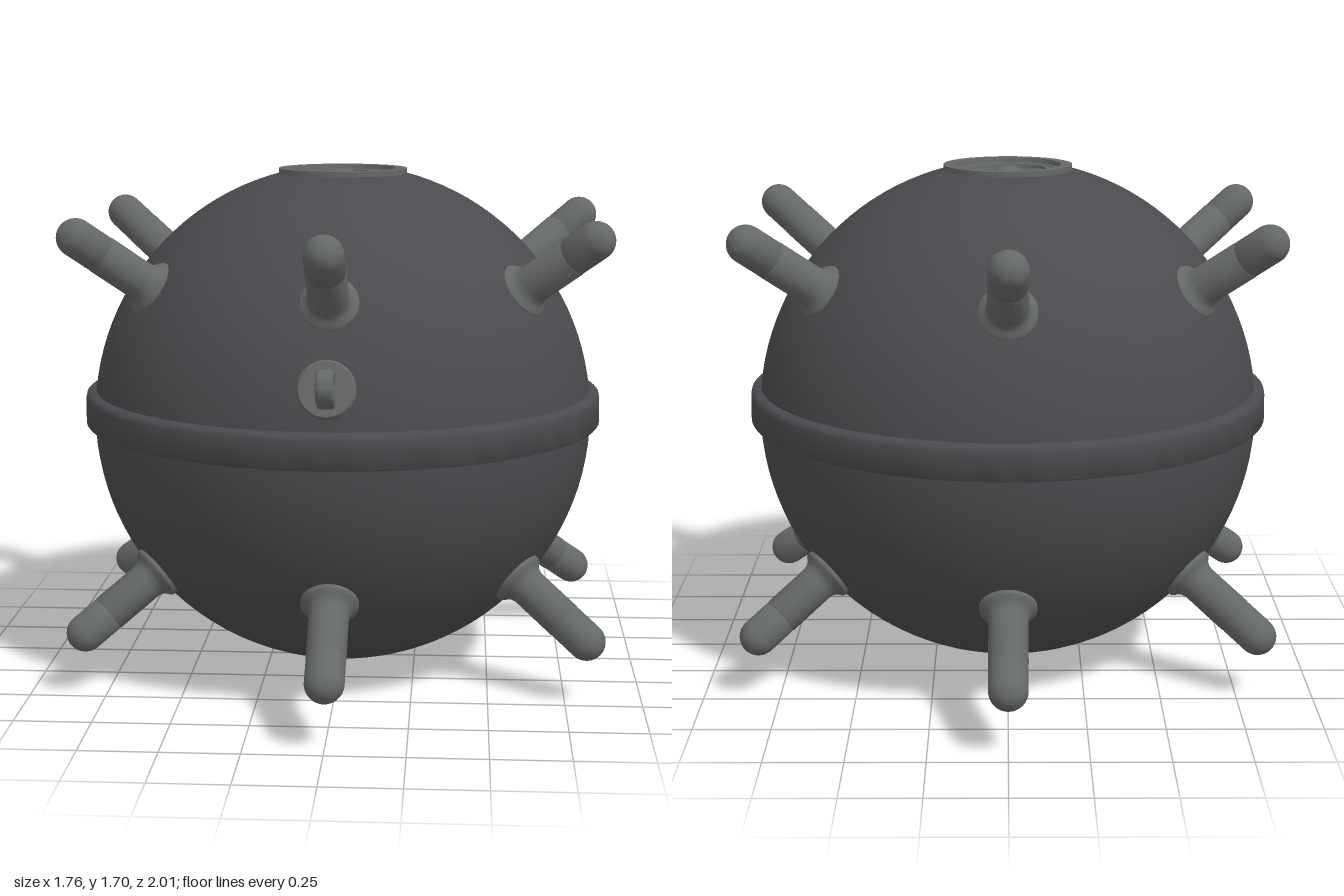
import * as THREE from 'three';
import { toCreasedNormals } from 'three/addons/utils/BufferGeometryUtils.js';

const R = 0.84, CY = 0.87;
const hullMat = new THREE.MeshStandardMaterial({ color: 0x4c4a4e });
const fittingMat = new THREE.MeshStandardMaterial({ color: 0x656966 });

// Revolved part; profile runs up the outside as [radius, height] pairs
function lathe(name, profile, material, segments = 48, crease = 0.6) {
  const points = profile.map(([r, y]) => new THREE.Vector2(r, y));
  const geometry = toCreasedNormals(new THREE.LatheGeometry(points, segments), crease);
  const mesh = new THREE.Mesh(geometry, material);
  mesh.name = name;
  return mesh;
}

// Group whose local +y points outward from the hull centre
function outward(name, elevation, azimuth) {
  const group = new THREE.Group();
  group.name = name;
  const c = Math.cos(elevation);
  const dir = new THREE.Vector3(c * Math.sin(azimuth), Math.sin(elevation), c * Math.cos(azimuth));
  group.quaternion.setFromUnitVectors(new THREE.Vector3(0, 1, 0), dir);
  group.position.y = 0.86;
  return group;
}

function hull() {
  // Spherical shell with a slightly pointed bottom and an open top
  const profile = [[0, 0.005]];
  const start = -Math.acos(0.21 / R), end = -start;
  for (let i = 0; i <= 48; i++) {
    const a = start + (end - start) * i / 48;
    profile.push([R * Math.cos(a), CY + R * Math.sin(a)]);
  }
  return lathe('hull', profile, hullMat, 96, 0.8);
}

function horn() {
  const group = new THREE.Group();
  // Stem with a flared foot
  group.add(lathe('hornStem', [
    [0.092, 0.81], [0.092, 0.842], [0.086, 0.85], [0.074, 0.858],
    [0.067, 0.869], [0.063, 0.885], [0.063, 1.043], [0.059, 1.05], [0, 1.05],
  ], fittingMat, 32));
  // Rounded cap
  const cap = [[0.058, 1.045], [0.062, 1.052]];
  for (let i = 0; i <= 10; i++) {
    const a = Math.PI / 2 * i / 10;
    cap.push([0.062 * Math.cos(a), 1.143 + 0.062 * Math.sin(a)]);
  }
  group.add(lathe('hornCap', cap, fittingMat, 32));
  return group;
}

function liftingLug() {
  const group = outward('liftingLug', 0.275, 0);
  // Round base pad
  group.add(lathe('lugBase', [
    [0.09, 0.80], [0.09, 0.862], [0.084, 0.87], [0, 0.87],
  ], fittingMat, 40));

  // Eye plate with a hole, standing in the vertical plane
  const outer = 0.05, eyeY = 0.922;
  const shape = new THREE.Shape();
  shape.moveTo(-0.06, 0.862);
  shape.lineTo(0.06, 0.862);
  shape.quadraticCurveTo(outer, 0.88, outer, eyeY);
  shape.absarc(0, eyeY, outer, 0, Math.PI, false);
  shape.quadraticCurveTo(-outer, 0.88, -0.06, 0.862);
  const hole = new THREE.Path();
  hole.absarc(0, eyeY, 0.031, 0, Math.PI * 2, true);
  shape.holes.push(hole);
  const geometry = new THREE.ExtrudeGeometry(shape, {
    depth: 0.028, curveSegments: 20,
    bevelThickness: 0.013, bevelSize: 0.009, bevelOffset: -0.005, bevelSegments: 3,
  });
  geometry.translate(0, 0, -0.014).rotateY(Math.PI / 2);
  const eye = new THREE.Mesh(toCreasedNormals(geometry, 0.6), fittingMat);
  eye.name = 'lugEye';
  group.add(eye);
  return group;
}

function topHatch() {
  const group = new THREE.Group();
  group.name = 'topHatch';
  // Stepped ring and recessed floor
  group.add(lathe('hatchRing', [
    [0.20, 1.66], [0.214, 1.675], [0.214, 1.70], [0.177, 1.70], [0.174, 1.685],
    [0.158, 1.685], [0.155, 1.67], [0.152, 1.67], [0.150, 1.685],
    [0.128, 1.685], [0.123, 1.655], [0, 1.655],
  ], fittingMat, 64));
  // Grip bar across the floor
  const bar = new THREE.Mesh(new THREE.BoxGeometry(0.22, 0.03, 0.034), fittingMat);
  bar.name = 'hatchBar';
  bar.position.y = 1.668;
  group.add(bar);
  // Central domed knob
  group.add(lathe('hatchKnob', [
    [0.048, 1.65], [0.048, 1.676], [0.04, 1.687], [0.022, 1.694], [0, 1.696],
  ], fittingMat, 32));
  return group;
}

export function createModel() {
  const model = new THREE.Group();
  model.name = 'navalMine';
  model.add(hull());

  // Equatorial band
  model.add(lathe('equatorBand', [
    [0.825, 0.845], [0.846, 0.845], [0.848, 0.852], [0.866, 0.852], [0.87, 0.857],
    [0.869, 0.94], [0.866, 0.953], [0.858, 0.96], [0.842, 0.962], [0.825, 0.966],
  ], hullMat, 96, 0.7));

  // Two rings of six horns
  const elevation = THREE.MathUtils.degToRad(34.5);
  for (const side of [1, -1]) {
    for (let i = 0; i < 6; i++) {
      const mount = outward(side > 0 ? 'upperHorn' : 'lowerHorn', side * elevation, i * Math.PI / 3);
      mount.add(...horn().children);
      model.add(mount);
    }
  }

  model.add(liftingLug(), topHatch());
  return model;
}
